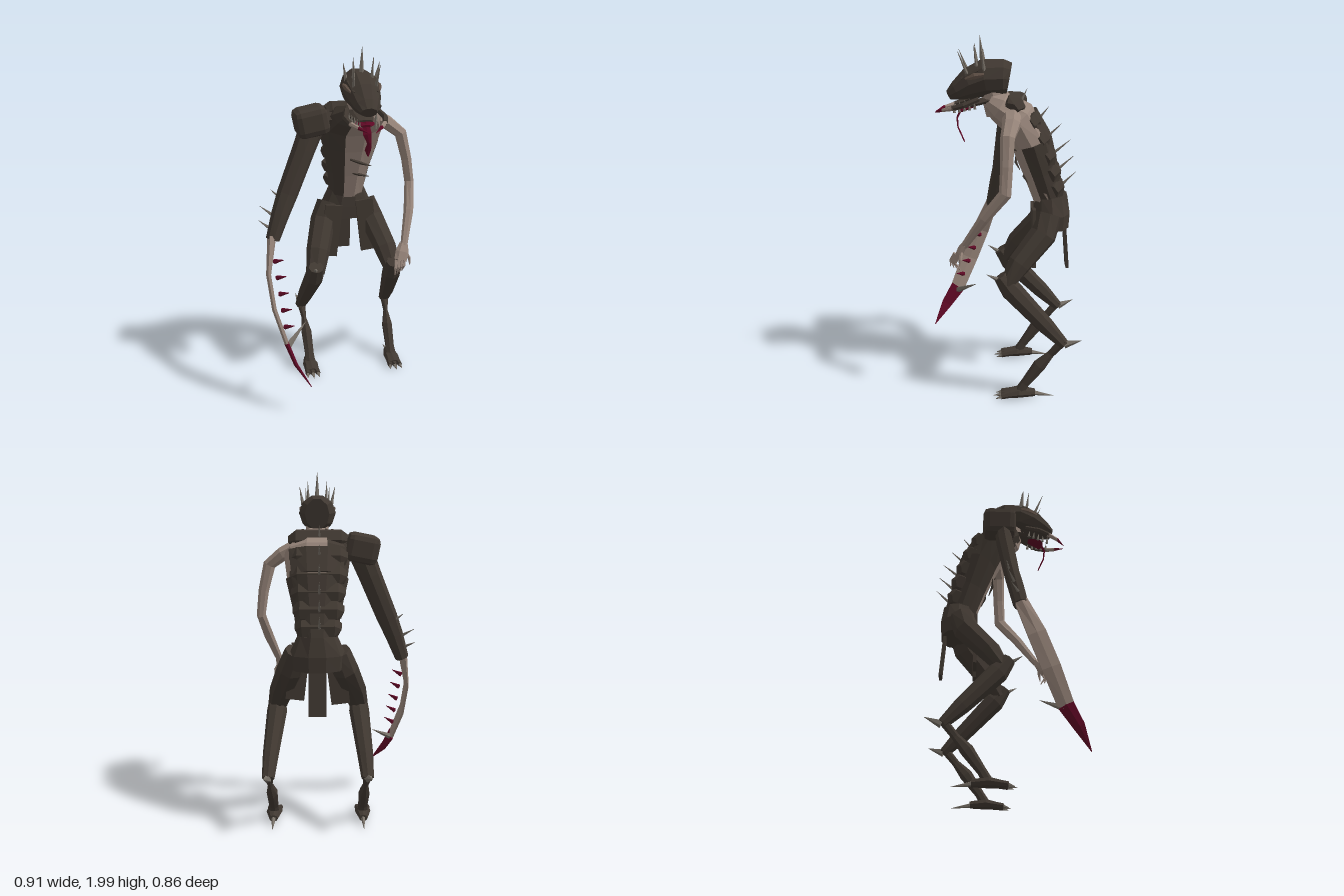
import * as THREE from 'three';
import { RoundedBoxGeometry } from 'three/addons/geometries/RoundedBoxGeometry.js';

const paint = (name, color) => {
  const m = new THREE.MeshStandardMaterial({ color });
  m.name = name;
  return m;
};
const V = (x, y, z) => new THREE.Vector3(x, y, z);
const CX = 0.107; // body midline

// Faceted sweep. Each section is [x, y, z, half width, half depth];
// ref sets the width direction, cols limits it to some of the sides.
function sweep(sections, sides = 6, ref = V(1, 0, 0), cols = [0, sides]) {
  const pts = sections.map(s => V(s[0], s[1], s[2]));
  const rings = sections.map((s, i) => {
    const t = pts[Math.min(i + 1, pts.length - 1)].clone().sub(pts[Math.max(i - 1, 0)]).normalize();
    const u = ref.clone().addScaledVector(t, -ref.dot(t)).normalize();
    const v = t.clone().cross(u);
    return Array.from({ length: sides }, (_, j) => {
      const a = (j / sides) * Math.PI * 2;
      return pts[i].clone().addScaledVector(u, Math.cos(a) * s[3]).addScaledVector(v, Math.sin(a) * (s[4] ?? s[3]));
    });
  });
  const out = [];
  const tri = (...ps) => ps.forEach(p => out.push(p.x, p.y, p.z));
  const last = rings.length - 1;
  for (let k = cols[0]; k < cols[1]; k++) {
    const j = k % sides, n = (k + 1) % sides;
    for (let i = 0; i < last; i++) {
      const a = rings[i][j], b = rings[i][n], c = rings[i + 1][n], d = rings[i + 1][j];
      tri(a, b, d);
      tri(b, c, d);
    }
    tri(pts[0], rings[0][n], rings[0][j]);
    tri(pts[last], rings[last][j], rings[last][n]);
  }
  const g = new THREE.BufferGeometry();
  g.setAttribute('position', new THREE.Float32BufferAttribute(out, 3));
  g.computeVertexNormals();
  return g;
}

export function createModel() {
  const model = new THREE.Group();
  const dark = paint('dark hide', 0x403831);
  const brown = paint('eye brown', 0x65554a);
  const pale = paint('pale skin', 0x97857a);
  const red = paint('blood red', 0x5e0824);
  const grey = paint('horn grey', 0x756e65);
  const add = (name, geo, mat) => {
    const m = new THREE.Mesh(geo, mat);
    m.name = name;
    model.add(m);
    return m;
  };
  const spike = (name, a, b, r, mat = grey) => {
    const ref = Math.abs(b[0] - a[0]) > 0.8 * V(...a).distanceTo(V(...b)) ? V(0, 0, 1) : V(1, 0, 0);
    return add(name, sweep([[...a, r], [...b, 0.001]], 5, ref), mat);
  };

  // Torso: dark right flank, pale remainder, dark shell over the back
  const torso = [
    [CX, 1.08, -0.26, 0.1, 0.085], [CX, 1.25, -0.205, 0.125, 0.095], [CX, 1.42, -0.15, 0.165, 0.11],
    [CX, 1.55, -0.08, 0.185, 0.105], [CX, 1.615, 0.02, 0.14, 0.085], [CX, 1.645, 0.075, 0.085, 0.05],
  ];
  const X_AXIS = V(1, 0, 0);
  add('torsoDarkSide', sweep(torso, 10, X_AXIS, [3, 7]), dark);
  add('torsoPaleSide', sweep(torso, 10, X_AXIS, [7, 13]), pale);
  const shell = torso.slice(0, 4).map(([x, y, z, w, d]) => [x, y, z - 0.012, w * 1.04, d * 1.03]);
  add('lowerBackShell', sweep(shell.slice(0, 3), 10, X_AXIS, [9, 15]), dark);
  add('upperBackShell', sweep(shell.slice(2), 10, X_AXIS, [1, 4]), dark);
  add('neck', sweep([[CX, 1.58, 0.02, 0.075], [CX, 1.66, 0.05, 0.065], [CX, 1.75, 0.07, 0.06]], 8), pale);
  add('pelvis', sweep([[CX, 0.94, -0.27, 0.145, 0.1], [CX, 1.02, -0.272, 0.155, 0.104], [CX, 1.12, -0.265, 0.11, 0.095]], 10), dark);

  // Gashes on the pale belly
  for (const [x0, y0, x1, y1, z] of [[0.17, 1.4, 0.21, 1.385, -0.055], [0.09, 1.335, 0.22, 1.285, -0.07], [0.09, 1.25, 0.22, 1.21, -0.115]]) {
    add('gash', sweep([[x0, y0, z, 0.006, 0.002], [(x0 + x1) / 2, (y0 + y1) / 2, z, 0.009, 0.008], [x1, y1, z - 0.02, 0.002, 0.002]], 4, V(0, 1, 0)), dark);
  }

  // Overlapping back plates [y, z, half width, spine tip z] and their spines
  const plates = [
    [1.63, -0.062, 0.165, -0.13], [1.535, -0.155, 0.155, -0.25], [1.44, -0.205, 0.15, -0.32],
    [1.35, -0.24, 0.14, -0.37], [1.26, -0.268, 0.13, -0.39], [1.17, -0.288, 0.115, -0.405],
  ];
  plates.forEach(([y, z, w, tip], i) => {
    add('backPlate', sweep([
      [CX - w, y - 0.01, z + 0.01, 0.035, 0.04], [CX - w * 0.8, y, z, 0.05, 0.06],
      [CX + w * 0.7, y, z, 0.05, 0.06], [CX + w * 0.88, y - 0.012, z + 0.015, 0.032, 0.04],
    ], 6, i ? V(0, 0.3, -1) : V(0, 1, -0.6)), dark);
    spike('backSpine', [CX - 0.012, y - 0.005, z - 0.03], [CX - 0.012, y + 0.075, tip], 0.01);
  });

  // Skull
  add('skull', sweep([
    [CX, 1.762, -0.033, 0.068, 0.087], [CX, 1.768, 0, 0.095, 0.098], [CX, 1.765, 0.1, 0.105, 0.102],
    [CX, 1.735, 0.18, 0.092, 0.085], [CX, 1.695, 0.25, 0.07, 0.055], [CX, 1.672, 0.293, 0.045, 0.028],
  ], 10), dark);
  add('lowerJaw', sweep([[CX, 1.655, 0.05, 0.055, 0.02], [CX, 1.635, 0.13, 0.066, 0.018], [CX, 1.61, 0.21, 0.045, 0.01]], 8), dark);
  add('gum', sweep([[CX, 1.618, 0.15, 0.03, 0.008], [CX, 1.595, 0.22, 0.058, 0.012], [CX, 1.59, 0.238, 0.03, 0.008]], 6), red);
  add('tongue', sweep([
    [CX, 1.61, 0.22, 0.018, 0.006], [CX + 0.002, 1.55, 0.25, 0.024, 0.005], [CX + 0.015, 1.5, 0.245, 0.012, 0.004], [CX + 0.012, 1.46, 0.228, 0.018, 0.004], [CX + 0.018, 1.42, 0.21, 0.004, 0.003],
  ], 4), red);
  for (const s of [-1, 1]) {
    add('eye', sweep([[CX + s * 0.097, 1.79, 0.1, 0.006, 0.01], [CX + s * 0.093, 1.783, 0.15, 0.01, 0.018], [CX + s * 0.077, 1.765, 0.2, 0.005, 0.008]], 5), brown);
    add('brow', sweep([[CX + s * 0.07, 1.81, 0.13, 0.02, 0.012], [CX + s * 0.055, 1.765, 0.22, 0.015, 0.01]], 5), dark);
    add('mandible', sweep([
      [CX + s * 0.085, 1.66, 0.13, 0.014], [CX + s * 0.108, 1.63, 0.21, 0.016], [CX + s * 0.093, 1.612, 0.27, 0.014],
    ], 6), dark);
    add('mandibleBone', sweep([[CX + s * 0.096, 1.613, 0.262, 0.0135], [CX + s * 0.06, 1.598, 0.325, 0.01]], 6), pale);
    spike('mandibleTip', [CX + s * 0.062, 1.6, 0.322], [CX + s * 0.018, 1.58, 0.37], 0.011, red);
    spike('crownSpike', [CX + s * 0.05, 1.83, 0.14], [CX + s * 0.055, 1.94, 0.155], 0.01);
    spike('templeSpike', [CX + s * 0.08, 1.81, 0.1], [CX + s * 0.1, 1.91, 0.11], 0.012);
    spike('browSpike', [CX + s * 0.06, 1.78, 0.185], [CX + s * 0.07, 1.91, 0.24], 0.01);
    for (let i = 0; i < 5; i++) {
      const z = 0.15 + i * 0.028, x = CX + s * (0.075 - i * 0.008), y = 1.62 - i * 0.006;
      spike('lowerTooth', [x, y - 0.015, z], [x, y + 0.028, z + 0.005], 0.009);
    }
  }
  spike('crownSpike', [CX, 1.85, 0.11], [CX, 1.99, 0.125], 0.015);

  // Right arm: heavy shoulder guard, dark arm, bone blade
  const padGeo = new RoundedBoxGeometry(0.185, 0.16, 0.19, 1, 0.036);
  padGeo.computeVertexNormals();
  const pad = add('shoulderGuard', padGeo, dark);
  pad.position.set(-0.143, 1.575, -0.04);
  pad.rotation.z = 0.2;
  add('collarBridge', sweep([[-0.1, 1.58, -0.05, 0.06], [0.03, 1.59, -0.05, 0.065]], 6, V(0, 0, 1)), dark);
  add('rightArm', sweep([
    [-0.145, 1.53, -0.02, 0.07, 0.045], [-0.19, 1.42, -0.01, 0.065, 0.05], [-0.29, 1.18, 0.02, 0.06, 0.045], [-0.335, 1.07, 0.04, 0.052, 0.045], [-0.385, 0.93, 0.065, 0.04, 0.042],
  ], 8), dark);
  for (const [a, b] of [[[-0.335, 1.16, 0.01], [-0.38, 1.2, -0.01]], [[-0.385, 1.07, 0.03], [-0.445, 1.11, -0.005]], [[-0.405, 1.0, 0.05], [-0.455, 1.03, 0.01]]])
    spike('armSpike', a, b, 0.009);
  const bladeEnd = [-0.35, 0.39, 0.29, 0.013, 0.05];
  add('boneBlade', sweep([
    [-0.39, 0.95, 0.065, 0.025, 0.04], [-0.423, 0.75, 0.143, 0.014, 0.058], [-0.405, 0.57, 0.215, 0.013, 0.058], bladeEnd,
  ], 6), pale);
  add('bladeTip', sweep([bladeEnd, [-0.31, 0.29, 0.36, 0.011, 0.036], [-0.235, 0.18, 0.43, 0.002, 0.002]], 6), red);
  spike('bladeSpur', [-0.345, 0.37, 0.29], [-0.22, 0.455, 0.17], 0.02);
  for (let i = 0; i < 5; i++) {
    const y = 0.815 - i * 0.085, z = 0.11 + i * 0.036, x = -0.385 + i * 0.008;
    spike('bladeTooth', [x, y, z], [x + 0.05, y + 0.02, z + 0.04], 0.015, red);
  }

  // Left arm: thin and pale, with a clawed hand
  add('leftArm', sweep([
    [0.22, 1.58, -0.05, 0.055, 0.05], [0.3, 1.545, -0.045, 0.05, 0.04], [0.375, 1.485, -0.025, 0.04, 0.036], [0.41, 1.34, -0.02, 0.035, 0.03],
    [0.428, 1.2, -0.012, 0.036, 0.026], [0.395, 1.06, 0.1, 0.03, 0.028], [0.34, 0.89, 0.21, 0.02, 0.02],
  ], 7, V(0, 0, 1)), pale);
  add('leftPalm', sweep([[0.34, 0.9, 0.205, 0.026, 0.018], [0.325, 0.86, 0.23, 0.038, 0.022], [0.31, 0.82, 0.25, 0.036, 0.016]], 6), pale);
  for (let i = 0; i < 4; i++) {
    const x = 0.28 + i * 0.019, z = 0.265 - i * 0.009;
    add('finger', sweep([[x, 0.83, z, 0.009], [x - 0.008, 0.79, z + 0.022, 0.008], [x - 0.012, 0.75, z + 0.025 - i * 0.01, 0.003]], 5), pale);
  }
  add('thumb', sweep([[0.345, 0.86, 0.225, 0.011], [0.368, 0.82, 0.23, 0.009], [0.37, 0.785, 0.235, 0.003]], 5), pale);

  // Digitigrade legs, mirrored about the midline
  for (const s of [-1, 1]) {
    const X = d => CX + s * d;
    add('thigh', sweep([
      [X(0.11), 1.03, -0.25, 0.07, 0.075], [X(0.15), 0.93, -0.22, 0.075, 0.075], [X(0.205), 0.78, -0.09, 0.07, 0.065], [X(0.235), 0.67, -0.02, 0.055, 0.04],
    ], 8), dark);
    add('shin', sweep([
      [X(0.235), 0.72, 0.015, 0.045, 0.04], [X(0.238), 0.64, -0.045, 0.058, 0.06], [X(0.265), 0.44, -0.235, 0.045, 0.048], [X(0.275), 0.335, -0.335, 0.035, 0.03],
    ], 8), dark);
    add('hock', sweep([
      [X(0.275), 0.36, -0.34, 0.03, 0.025], [X(0.268), 0.27, -0.265, 0.014, 0.022], [X(0.263), 0.2, -0.205, 0.032, 0.038], [X(0.26), 0.09, -0.125, 0.028, 0.026], [X(0.26), 0.03, -0.09, 0.035, 0.03],
    ], 7), dark);
    add('foot', sweep([[X(0.26), 0.03, -0.18, 0.025, 0.02], [X(0.26), 0.035, -0.09, 0.046, 0.03], [X(0.26), 0.024, -0.01, 0.042, 0.02]], 8), dark);
    spike('kneeSpike', [X(0.235), 0.69, 0.005], [X(0.255), 0.735, 0.09], 0.018);
    spike('hockSpike', [X(0.278), 0.335, -0.34], [X(0.295), 0.365, -0.43], 0.024);
    spike('heelClaw', [X(0.26), 0.03, -0.16], [X(0.26), 0.01, -0.285], 0.016);
    for (const t of [-1, 0, 1]) {
      add('toe', sweep([[X(0.26) + t * 0.025, 0.03, -0.05, 0.018], [X(0.26) + t * 0.031, 0.02, 0.01, 0.015]], 6), dark);
      spike('toeClaw', [X(0.26) + t * 0.031, 0.02, 0.005], [X(0.26) + t * 0.036, 0.01, 0.055 - Math.abs(t) * 0.015], 0.012);
    }
    // Front loincloth flaps
    const flap = add('frontFlap', new THREE.BoxGeometry(0.105, 0.32, 0.02), dark);
    flap.position.set(X(0.11), s > 0 ? 0.9 : 0.875, -0.17);
    flap.rotation.z = s * 0.12;
  }
  const rear = add('rearFlap', new THREE.BoxGeometry(0.095, 0.3, 0.018), dark);
  rear.position.set(CX, 0.848, -0.352);
  rear.rotation.x = 0.08;

  return model;
}
